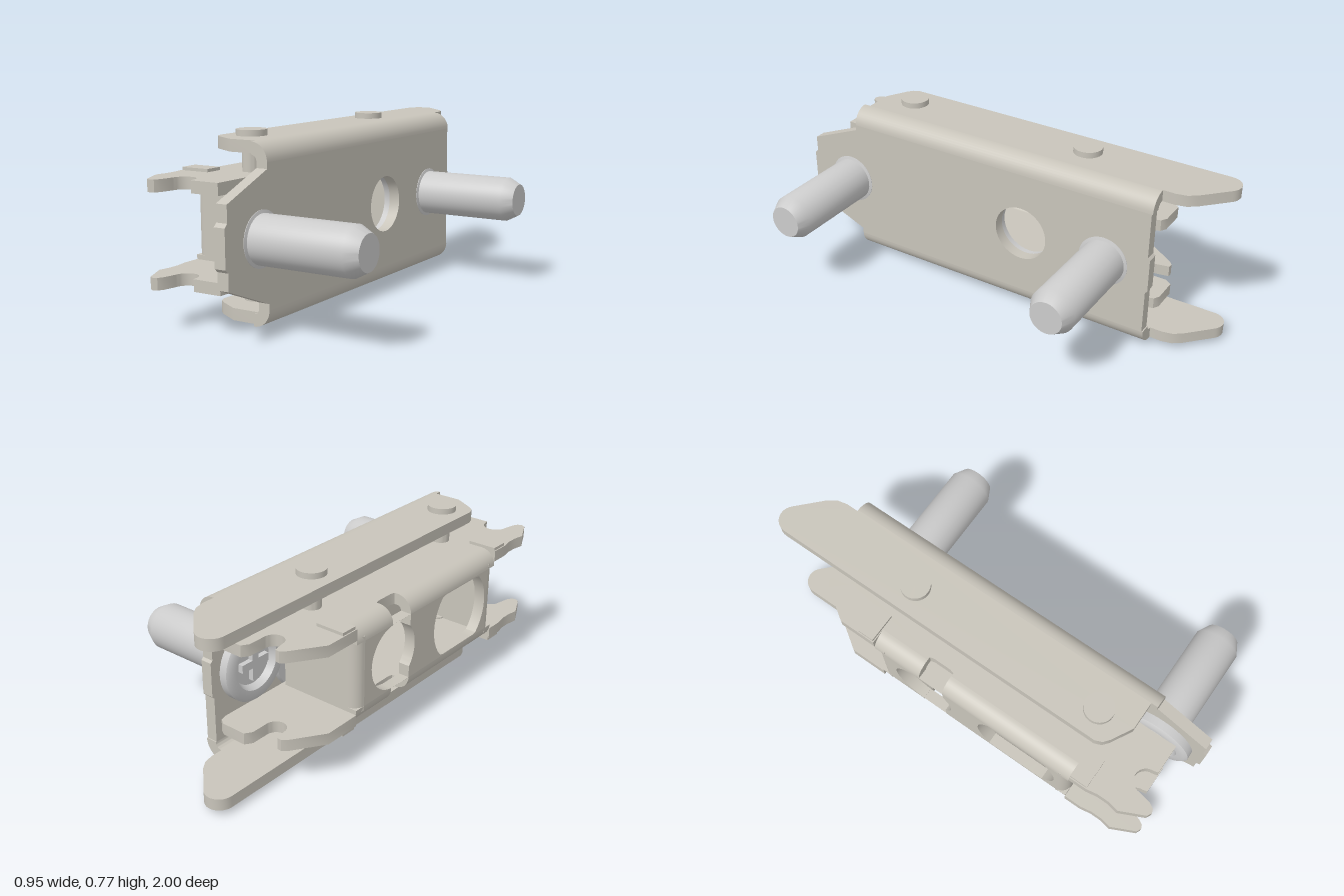
import * as THREE from 'three';
import { toCreasedNormals } from 'three/addons/utils/BufferGeometryUtils.js';

const MID = 0.388; // height of the horizontal symmetry plane
const steel = new THREE.MeshStandardMaterial({ color: 0xc8c4ba, side: THREE.DoubleSide });
const bright = new THREE.MeshStandardMaterial({ color: 0xdfdfdb, side: THREE.DoubleSide });

// points along an arc
function arc(cx, cy, r, a0, a1, n = 16) {
  return Array.from({ length: n + 1 }, (_, i) => {
    const a = a0 + (a1 - a0) * i / n;
    return [cx + r * Math.cos(a), cy + r * Math.sin(a)];
  });
}
const circle = (cx, cy, r) => arc(cx, cy, r, 0, Math.PI * 2, 40).slice(0, -1);

function extrude(points, holes, depth) {
  const v = (list) => list.map(([a, b]) => new THREE.Vector2(a, b));
  const shape = new THREE.Shape(v(points));
  holes.forEach((h) => shape.holes.push(new THREE.Path(v(h))));
  return new THREE.ExtrudeGeometry(shape, { depth, bevelEnabled: false });
}

// upright plate outlined in (z, y), spanning x0..x1
function uprightPlate(points, holes, x0, x1) {
  const flip = (list) => list.map(([z, y]) => [-z, y]);
  return extrude(flip(points), holes.map(flip), x1 - x0).rotateY(Math.PI / 2).translate(x0, 0, 0);
}

// level plate outlined in (x, z), spanning y0..y1
function levelPlate(points, y0, y1) {
  return extrude(points.map(([x, z]) => [x, -z]), [], y1 - y0).rotateX(-Math.PI / 2).translate(0, y0, 0);
}

// quarter-round sheet bend running along z
function bend(cx, cy, rIn, rOut, a, z0, z1) {
  const b = a + Math.PI / 2;
  return extrude([...arc(cx, cy, rOut, a, b, 10), ...arc(cx, cy, rIn, b, a, 10)], [], z1 - z0).translate(0, 0, z0);
}

export function createModel() {
  const model = new THREE.Group();
  const add = (name, geo, mat = steel, parent = model) => {
    const mesh = new THREE.Mesh(toCreasedNormals(geo, 0.6), mat);
    mesh.name = name;
    parent.add(mesh);
    return mesh;
  };
  const PI = Math.PI;

  // outer channel: web with a tapered front tongue
  add('outerWeb', uprightPlate([
    [-0.74, 0.1], [-0.74, 0.3], [-0.75, 0.31], [-0.75, 0.46], [-0.74, 0.47], [-0.74, 0.675],
    [0.74, 0.675], [0.74, 0.65], [0.985, 0.55], [0.985, 0.48], [1, 0.465],
    [1, 0.31], [0.985, 0.296], [0.985, 0.226], [0.74, 0.126], [0.74, 0.1],
  ], [circle(-0.14, MID, 0.125)], -0.05, 0));
  add('upperOuterBend', bend(-0.075, 0.675, 0.025, 0.075, 0, -0.745, 0.74));
  add('lowerOuterBend', bend(-0.075, 0.1, 0.025, 0.075, -PI / 2, -0.745, 0.74));

  // outer flanges with rounded rear ears
  const outerFlange = [
    [-0.075, 0.71], [-0.2, 0.71], [-0.29, 0.66], [-0.315, 0.64], [-0.327, 0.61],
    ...arc(-0.265, -0.938, 0.062, PI, PI * 1.75, 12),
    [-0.115, -0.88], [-0.09, -0.845], [-0.08, -0.8], [-0.08, -0.745], [-0.075, -0.745],
  ];
  add('upperOuterFlange', levelPlate(outerFlange, 0.7, 0.75));
  add('lowerOuterFlange', levelPlate(outerFlange, 0.025, 0.075));

  // inner bracket web: round hole with a cross slot, and a large clipped hole
  const slotHole = (s) => {
    const z = [-0.15, -0.03], r = 0.145, c = -0.14;
    const a0 = Math.acos((z[1] - c) / r), a1 = Math.acos((z[0] - c) / r);
    const top = [[z[1], 0.5345], [z[0], 0.5345]];
    return [...top, ...arc(c, MID, r, a1, 2 * PI - a1, 20),
      ...top.slice().reverse().map(([u, y]) => [u, 2 * MID - y]),
      ...arc(c, MID, r, -a0, a0, 20)];
  };
  const bigHole = circle(0.34, MID, 0.195).map(([z, y]) => [z, Math.min(0.53, Math.max(0.246, y))]);
  add('innerWeb', uprightPlate([[-0.33, 0.241], [0.55, 0.241], [0.55, 0.535], [-0.33, 0.535]],
    [slotHole(), bigHole], -0.475, -0.425));

  // inner bends, interrupted by the slot
  [[-0.38, -0.15], [-0.03, 0.6]].forEach(([z0, z1]) => {
    add('upperInnerBend', bend(-0.405, 0.535, 0.02, 0.07, PI / 2, z0, z1));
    add('lowerInnerBend', bend(-0.405, 0.241, 0.02, 0.07, PI, z0, z1));
  });

  // inner end walls, curving out of the web
  add('rearEndWall', levelPlate([[-0.1, -0.38], ...arc(-0.425, -0.33, 0.05, 1.5 * PI, PI, 8),
    [-0.425, -0.33], [-0.1, -0.33]], 0.22, 0.556));
  add('frontEndWall', levelPlate([[-0.1, 0.6], ...arc(-0.425, 0.55, 0.05, PI / 2, PI, 8),
    [-0.425, 0.55], [-0.1, 0.55]], 0.22, 0.556));

  // inner flanges with notched hooks at both ends
  const innerFlange = [
    [-0.405, -0.38], [-0.475, -0.38], [-0.475, -0.55], [-0.385, -0.685], [-0.365, -0.702], [-0.345, -0.7],
    ...arc(-0.29, -0.65, 0.045, PI, 0, 14),
    [-0.245, -0.73], [-0.225, -0.76], [-0.115, -0.76], [-0.09, -0.745], [-0.08, -0.71],
    [-0.08, 0.6], [-0.125, 0.66], [-0.125, 0.88], [-0.255, 0.88],
    ...arc(-0.312, 0.86, 0.052, 2 * PI, PI, 16),
    [-0.375, 0.915], [-0.388, 0.938], [-0.405, 0.945], [-0.425, 0.935], [-0.475, 0.83],
    [-0.466, 0.78], [-0.466, 0.73], [-0.475, 0.68], [-0.475, 0.6], [-0.405, 0.6],
    [-0.405, -0.03], [-0.39, -0.03], [-0.385, -0.05], [-0.385, -0.13], [-0.39, -0.15], [-0.405, -0.15],
  ];
  add('upperInnerFlange', levelPlate(innerFlange, 0.555, 0.605));
  add('lowerInnerFlange', levelPlate(innerFlange, 0.171, 0.221));

  // small raised pads on the inner flanges
  [[-0.4225, 0.075], [0.64, 0.08]].forEach(([z, len]) => {
    [0.605, 0.171].forEach((y) => {
      add('flangePad', new THREE.BoxGeometry(0.13, 0.026, len).translate(-0.405, y, z));
    });
  });

  // ring behind the hole in the outer web
  add('backingRing', uprightPlate(circle(-0.14, MID, 0.282), [circle(-0.14, MID, 0.13)], -0.08, -0.05), bright);

  // rivets joining outer and inner flanges
  [-0.34, 0.555].forEach((z) => {
    [1, -1].forEach((s) => {
      const rivet = new THREE.Group();
      rivet.name = 'rivet';
      add('rivetHead', new THREE.CylinderGeometry(0.063, 0.063, 0.03, 32)
        .translate(-0.212, MID + s * 0.3725, z), steel, rivet);
      add('rivetShaft', new THREE.CylinderGeometry(0.04, 0.04, 0.17, 32)
        .translate(-0.212, MID + s * 0.245, z), steel, rivet);
      model.add(rivet);
    });
  });

  // chamfered pins with recessed cross heads
  const profile = [[0, -0.065], [0.1, -0.065], [0.115, -0.095], [0.15, -0.095], [0.165, -0.085], [0.165, -0.05],
    [0.113, -0.05], [0.113, 0.002], [0.1, 0.006], [0.1, 0.42], [0.072, 0.474], [0, 0.474]];
  [0.78, -0.54].forEach((z) => {
    const pin = new THREE.Group();
    pin.name = 'pin';
    pin.position.set(0, MID, z);
    add('pinBody', new THREE.LatheGeometry(profile.map(([r, x]) => new THREE.Vector2(r, x)), 48)
      .rotateZ(-PI / 2), bright, pin);
    add('crossBarUpright', new THREE.BoxGeometry(0.025, 0.15, 0.035).translate(-0.075, 0, 0), bright, pin);
    add('crossBarLevel', new THREE.BoxGeometry(0.025, 0.035, 0.15).translate(-0.075, 0, 0), bright, pin);
    model.add(pin);
  });

  return model;
}
